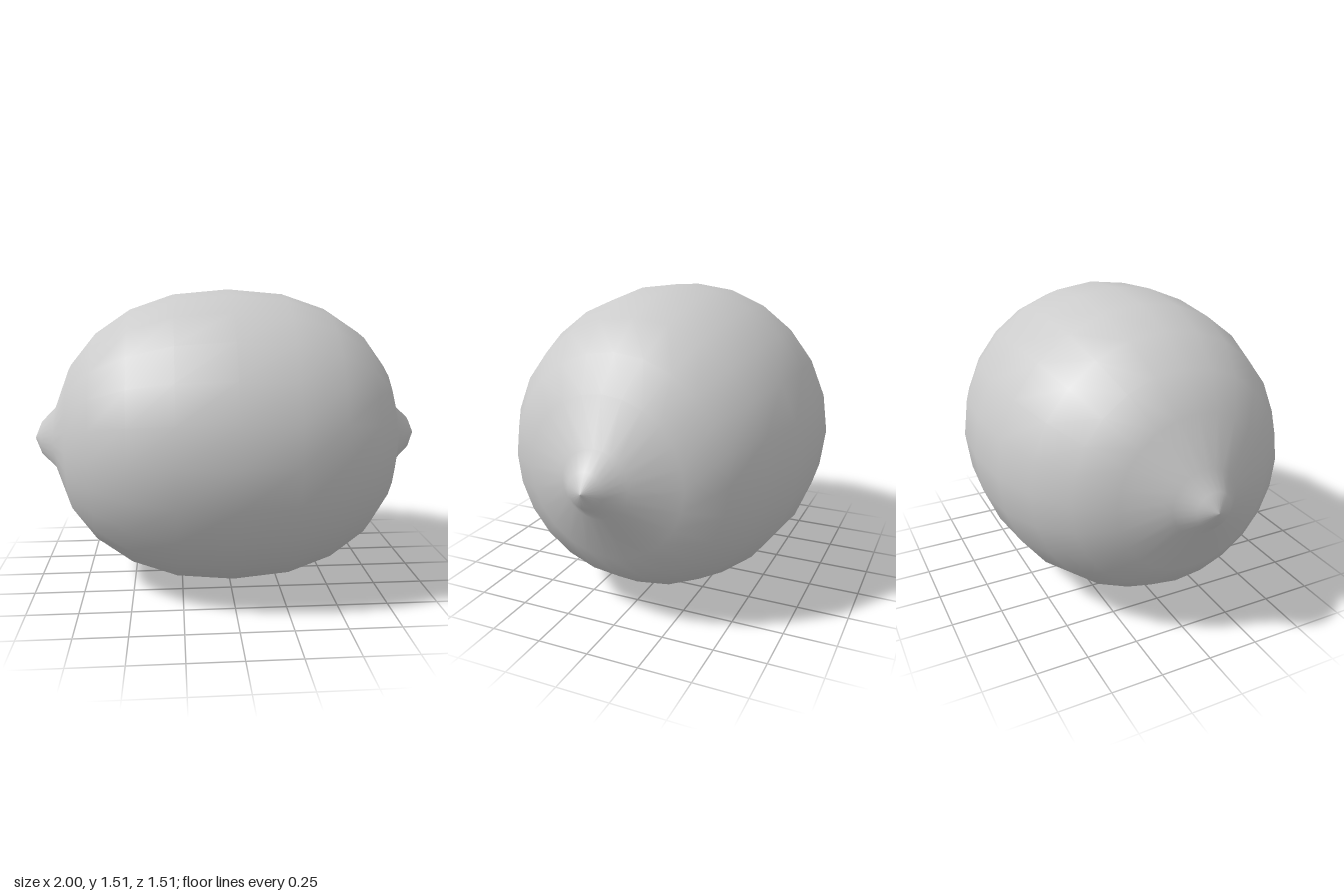
import * as THREE from 'three';

export function createModel() {
  const group = new THREE.Group();
  group.name = 'lemon';

  // Profile along the long axis: [position, radius], from tip to tip
  const profile = [
    [-1, 0], [-0.963, 0.085], [-0.888, 0.16], [-0.802, 0.378], [-0.674, 0.535],
    [-0.497, 0.655], [-0.278, 0.73], [0, 0.755], [0.278, 0.73], [0.497, 0.655],
    [0.678, 0.535], [0.798, 0.378], [0.878, 0.16], [0.958, 0.085], [1, 0],
  ].map(([along, radius]) => new THREE.Vector2(radius, along));

  // Fruit body with a nub at each end, laid on its side
  const geometry = new THREE.LatheGeometry(profile, 24);
  geometry.rotateZ(-Math.PI / 2);
  geometry.translate(0, 0.755, 0);

  const fruit = new THREE.Mesh(geometry, new THREE.MeshStandardMaterial({ color: 0xcccccc }));
  fruit.name = 'fruit';
  group.add(fruit);
  return group;
}
